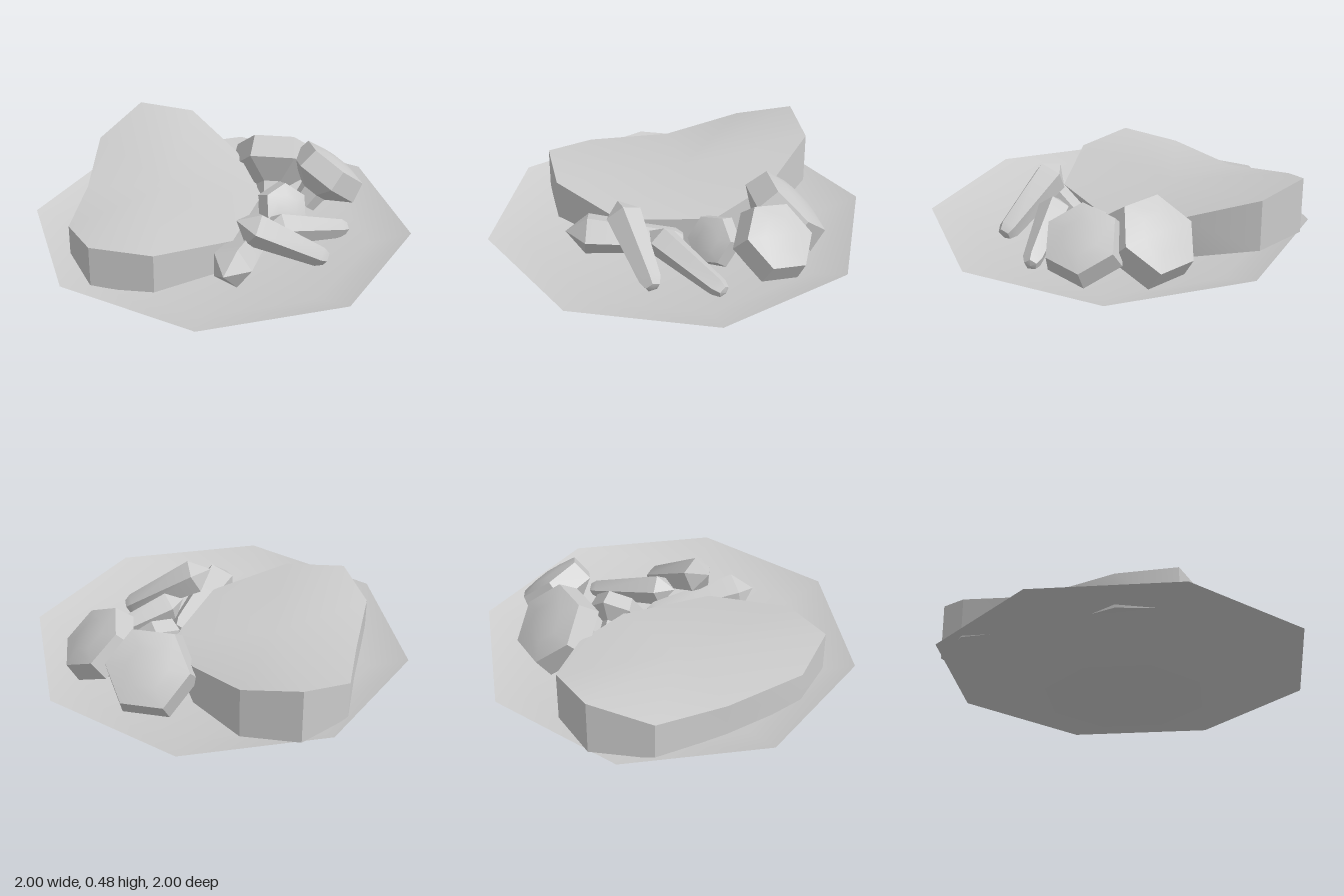
import * as THREE from 'three';
import { toCreasedNormals } from 'three/addons/utils/BufferGeometryUtils.js';

const V = (a) => new THREE.Vector3(...a);
const material = new THREE.MeshStandardMaterial({ color: 0xcccccc });

function addPart(group, name, geometry) {
  const mesh = new THREE.Mesh(toCreasedNormals(geometry, 0.6), material);
  mesh.name = name;
  group.add(mesh);
  return mesh;
}

// Few-sided turned solid; the profile runs from the lower to the upper end
const turned = (profile, sides, spin = 0) =>
  new THREE.LatheGeometry(profile.map(([r, y]) => new THREE.Vector2(r, y)), sides, spin);

function aim(mesh, position, axis) {
  mesh.position.copy(V(position));
  mesh.quaternion.setFromUnitVectors(new THREE.Vector3(0, 1, 0), V(axis).normalize());
}

// Closed slab between a rim of [x, z, topY, bottomY] points, with centre heights
function slab(rim, centre) {
  const positions = [];
  const [cx, cz, cTop, cBottom] = centre;
  rim.forEach(([x, z, t, b], i) => {
    const [nx, nz, nt, nb] = rim[(i + 1) % rim.length];
    positions.push(cx, cTop, cz, nx, nt, nz, x, t, z);
    positions.push(x, t, z, nx, nt, nz, x, b, z);
    positions.push(nx, nt, nz, nx, nb, nz, x, b, z);
    positions.push(cx, cBottom, cz, x, b, z, nx, nb, nz);
  });
  const geometry = new THREE.BufferGeometry();
  geometry.setAttribute('position', new THREE.Float32BufferAttribute(positions, 3));
  return geometry;
}

// Floret: domed cap with a bevelled edge, tapering into a stalk
function addFloret(group, centre, axis, r, spin, stalk) {
  const geometry = turned([
    [0, -stalk * r], [0.36 * r, -stalk * r], [0.42 * r, -1.05 * r],
    [1.12 * r, -0.6 * r], [r, 0], [0.5 * r, 0.1 * r], [0, 0.13 * r],
  ], 6, spin);
  aim(addPart(group, 'floret', geometry), centre, axis);
}

// Vegetable stick: pointed at the thick end, blunt at the thin end
function addStick(group, thick, thin, r, spin) {
  const length = V(thick).distanceTo(V(thin));
  const geometry = turned([
    [0, -0.03], [0.4 * r, -0.02], [0.62 * r, 0.02], [r, length], [0, length + r],
  ], 5, spin);
  const axis = V(thick).sub(V(thin)).toArray();
  aim(addPart(group, 'vegetableStick', geometry), thin, axis);
}

export function createModel() {
  const model = new THREE.Group();
  model.name = 'dinnerPlate';

  // Eight-sided plate with a thin rim
  addPart(model, 'plate', turned([[0, 0], [0.53, 0], [1, 0.17], [0.79, 0.1], [0, 0.095]], 8));

  // Slab of meat leaning on the back rim
  addPart(model, 'steak', slab([
    [-0.56, -0.78, 0.47, 0.17], [-0.26, -0.78, 0.435, 0.16], [0.03, -0.5, 0.33, 0.11],
    [0.2, -0.15, 0.26, 0.08], [0.1, 0.33, 0.26, 0.08], [-0.26, 0.6, 0.31, 0.08],
    [-0.58, 0.6, 0.335, 0.115], [-0.74, 0.34, 0.29, 0.11], [-0.735, -0.1, 0.28, 0.1],
    [-0.75, -0.52, 0.36, 0.15],
  ], [-0.3, -0.1, 0.31, 0.08]));

  // Florets at the back
  const florets = new THREE.Group();
  florets.name = 'florets';
  addFloret(florets, [0.24, 0.34, -0.575], [0, 0.7, -0.7], 0.215, Math.PI / 6, 1.6);
  addFloret(florets, [0.58, 0.36, -0.39], [0.55, 0.75, -0.3], 0.19, 0.2, 1.5);
  addFloret(florets, [0.34, 0.23, -0.09], [0.5, 0.5, 0.65], 0.13, 0.4, 1.8);
  model.add(florets);

  // Sticks piled at the front
  const sticks = new THREE.Group();
  sticks.name = 'vegetableSticks';
  addStick(sticks, [0.2, 0.34, 0.32], [0.55, 0.15, 0.25], 0.095, 0.3);
  addStick(sticks, [0.31, 0.24, 0.15], [0.64, 0.13, -0.08], 0.085, 0.9);
  addStick(sticks, [0.11, 0.21, 0.5], [0.22, 0.17, 0.04], 0.11, 0.1);
  model.add(sticks);

  return model;
}
